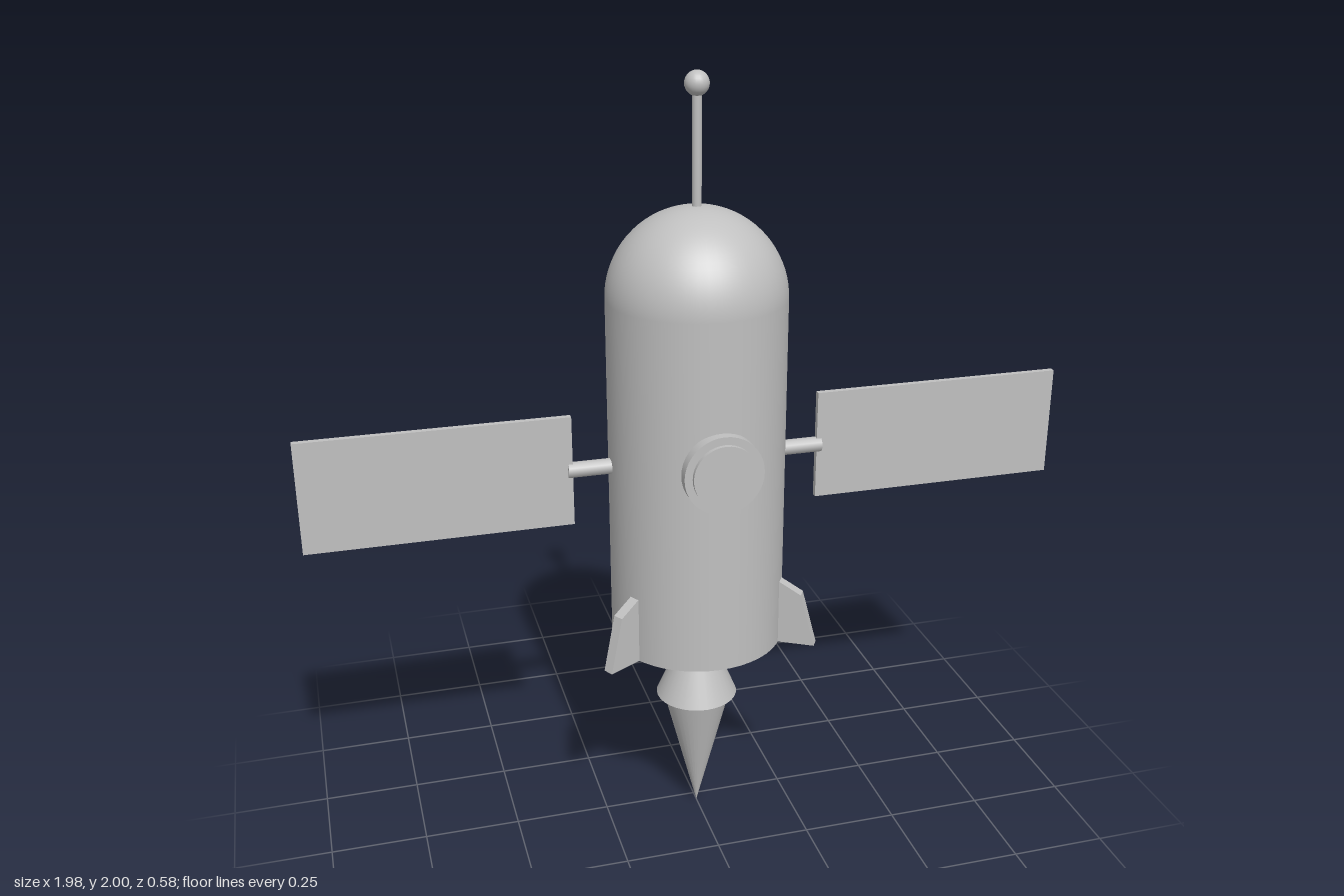
import * as THREE from 'three';

export function createModel() {
  const model = new THREE.Group();
  model.name = 'spacecraft';
  const grey = new THREE.MeshStandardMaterial({ color: 0xc0c0c0 });
  grey.name = 'hull grey';

  // Everything is built around the hull axis, which sits slightly forward
  const craft = new THREE.Group();
  craft.name = 'craft';
  craft.position.z = 0.03;
  model.add(craft);

  const add = (name, geometry, x = 0, y = 0, z = 0, parent = craft) => {
    const mesh = new THREE.Mesh(geometry, grey);
    mesh.name = name;
    mesh.position.set(x, y, z);
    parent.add(mesh);
    return mesh;
  };

  // Hull with domed nose
  const R = 0.225, base = 0.543, shoulder = 1.46;
  add('hull', new THREE.CylinderGeometry(R, R, shoulder - base, 48, 1), 0, (base + shoulder) / 2);
  add('noseDome', new THREE.SphereGeometry(R, 48, 20, 0, Math.PI * 2, 0, Math.PI / 2), 0, shoulder);

  // Antenna
  add('antennaMast', new THREE.CylinderGeometry(0.012, 0.012, 0.3, 12), 0, 1.82);
  add('antennaBall', new THREE.SphereGeometry(0.03, 20, 14), 0, 1.97);

  // Porthole: wide flange with a smaller pane in front
  const disc = (r, depth) => new THREE.CylinderGeometry(r, r, depth, 40).rotateX(Math.PI / 2);
  add('portholeFrame', disc(0.1, 0.03), 0, 1.087, 0.234);
  add('portholePane', disc(0.08, 0.04), 0, 1.087, 0.24);

  // Solar wings
  for (const [side, s] of [['left', 1], ['right', -1]]) {
    add(side + 'Strut', new THREE.CylinderGeometry(0.02, 0.02, 0.135, 12).rotateZ(Math.PI / 2), s * 0.266, 1.04);
    add(side + 'SolarPanel', new THREE.BoxGeometry(0.667, 0.288, 0.016), s * 0.655, 1.039);
  }

  // Three tail fins, one pointing straight back
  const finShape = new THREE.Shape([
    [0.21, base], [0.32, base], [0.282, 0.686], [0.225, 0.718], [0.21, 0.718],
  ].map(([x, y]) => new THREE.Vector2(x, y)));
  const finGeometry = new THREE.ExtrudeGeometry(finShape, { depth: 0.028, bevelEnabled: false });
  finGeometry.translate(0, 0, -0.014);
  for (let i = 0; i < 3; i++) {
    add('fin' + (i + 1), finGeometry).rotation.y = Math.PI / 2 + (i * Math.PI * 2) / 3;
  }

  // Engine nozzle: narrow throat, flared bell
  add('nozzleThroat', new THREE.CylinderGeometry(0.066, 0.061, 0.08, 32, 1, true), 0, 0.505);
  add('nozzleBell', new THREE.CylinderGeometry(0.061, 0.108, 0.11, 32), 0, 0.41);

  // Exhaust plume
  add('exhaustCone', new THREE.ConeGeometry(0.09, 0.355, 32).rotateX(Math.PI), 0, 0.1775);

  return model;
}
